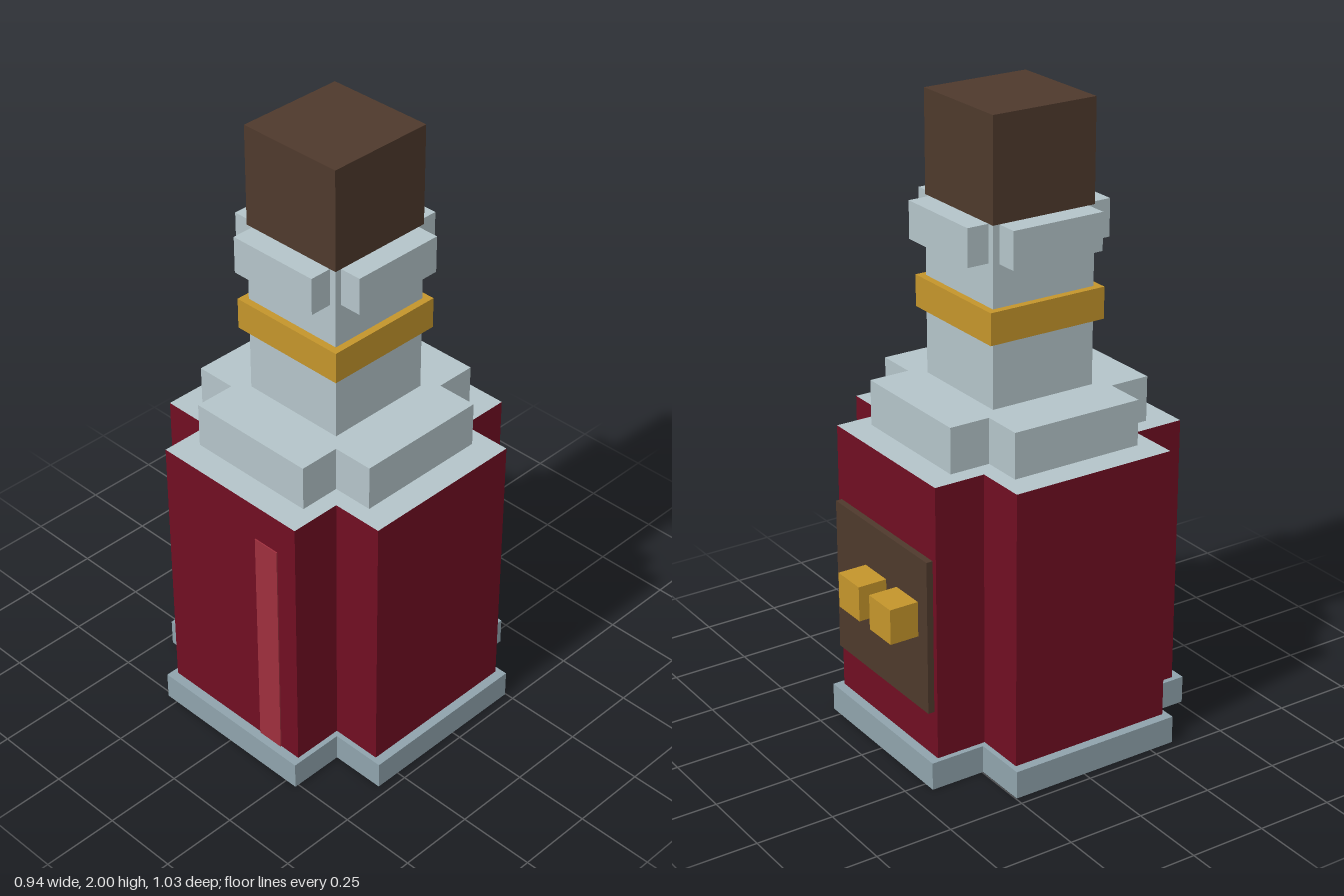
import * as THREE from 'three';

const mat = (name, color) => {
  const m = new THREE.MeshStandardMaterial({ color });
  m.name = name;
  return m;
};

export function createModel() {
  const glass = mat('pale glass', 0xb4c4c9);
  const baseGlass = mat('dark glass', 0x8fa3ac);
  const liquid = mat('red liquid', 0x700e22);
  const shine = mat('red highlight', 0x9e2f3d);
  const wood = mat('brown cork', 0x4e392c);
  const gold = mat('gold', 0xc4952b);

  const model = new THREE.Group();
  model.name = 'bottle';
  const CZ = 0.043; // bottle axis, offset by the clasp at the back

  const add = (name, geometry, material) => {
    const mesh = new THREE.Mesh(geometry, material);
    mesh.name = name;
    model.add(mesh);
    return mesh;
  };

  const box = (name, material, x0, x1, y0, y1, z0, z1) =>
    add(name, new THREE.BoxGeometry(x1 - x0, y1 - y0, z1 - z0), material)
      .position.set((x0 + x1) / 2, (y0 + y1) / 2, (z0 + z1) / 2);

  // Square block centred on the bottle axis
  const block = (name, material, h, y0, y1) =>
    box(name, material, -h, h, y0, y1, CZ - h, CZ + h);

  // Plus-shaped slab: r = reach of the arms, a = half width of the arms
  const cross = (name, material, r, a, y0, y1) => {
    const shape = new THREE.Shape([
      [r, -a], [r, a], [a, a], [a, r], [-a, r], [-a, a],
      [-r, a], [-r, -a], [-a, -a], [-a, -r], [a, -r], [a, -a],
    ].map(([x, y]) => new THREE.Vector2(x, y)));
    const g = new THREE.ExtrudeGeometry(shape, { depth: y1 - y0, bevelEnabled: false });
    g.rotateX(-Math.PI / 2);
    add(name, g, material).position.set(0, y0, CZ);
  };

  // Bottle, from the foot up; the body has a glass top and red sides
  cross('base', baseGlass, 0.47, 0.29, 0, 0.09);
  cross('body', [glass, liquid], 0.44, 0.273, 0.09, 0.975);
  cross('shoulder', glass, 0.352, 0.219, 0.975, 1.12);
  block('neck', glass, 0.177, 1.12, 1.68);
  block('neckBand', gold, 0.2, 1.33, 1.43);
  cross('lip', glass, 0.248, 0.155, 1.562, 1.68);
  block('cork', wood, 0.177, 1.68, 2);

  // Highlight strip on the front
  box('highlight', shine, 0.11, 0.2, 0.09, 0.855, 0.48, 0.487);

  // Label with two studs on the back
  box('label', wood, -0.256, 0.256, 0.24, 0.737, -0.418, -0.397);
  for (const x of [-0.206, -0.03]) {
    box('stud', gold, x, x + 0.117, 0.477, 0.59, -0.513, -0.418);
  }

  return model;
}
